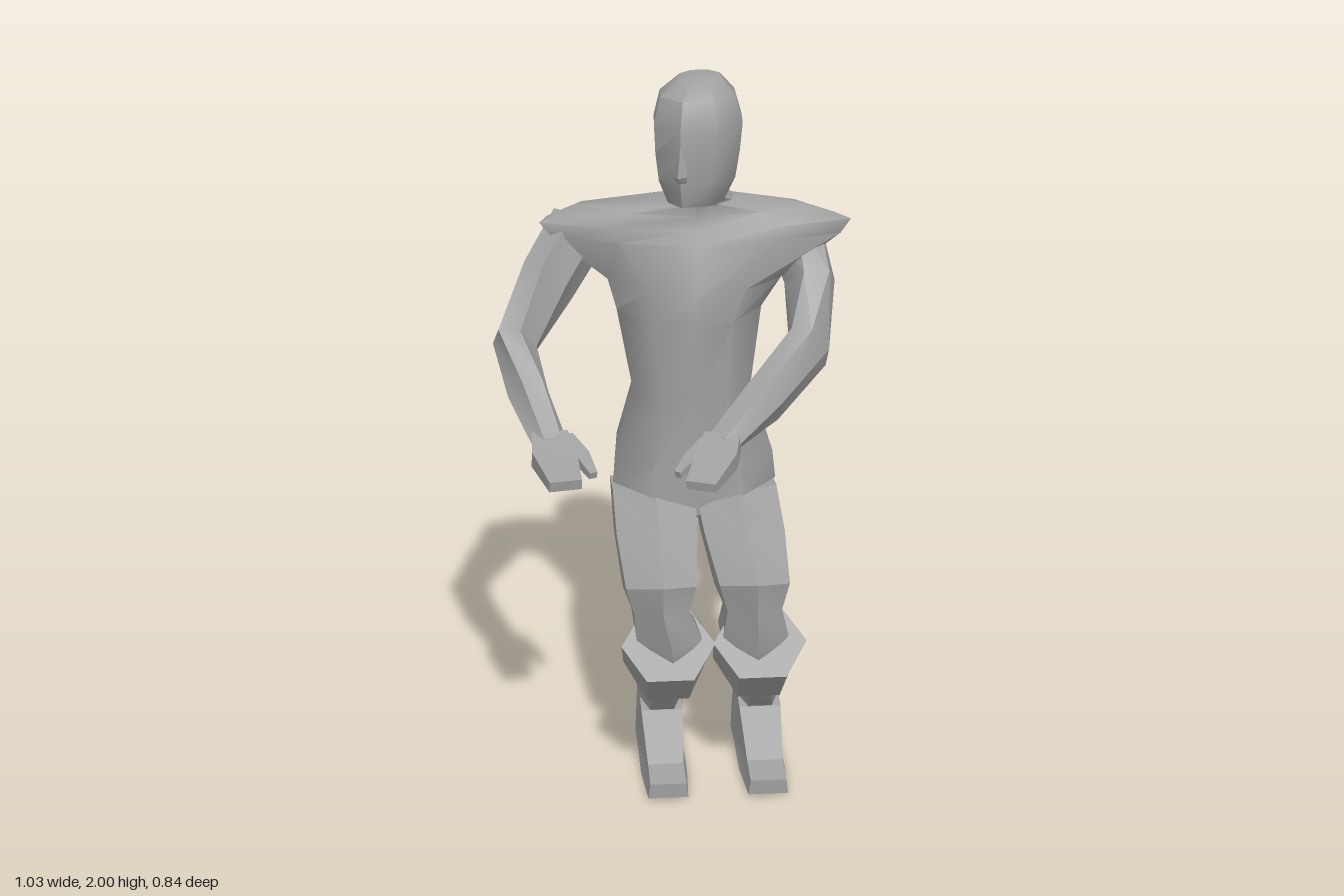
import * as THREE from 'three';
import { toCreasedNormals } from 'three/addons/utils/BufferGeometryUtils.js';

const grey = new THREE.MeshStandardMaterial({ color: 0xa0a0a0 });
grey.name = 'stone grey';

function mesh(name, geometry, parent, crease = 0.75) {
  const m = new THREE.Mesh(toCreasedNormals(geometry, crease), grey);
  m.name = name;
  parent.add(m);
  return m;
}

// Unit polygon scaled to fill -1..1 both ways; phase 0.5 puts a flat side first
function polygon(n, phase = 0) {
  const p = [];
  for (let i = 0; i < n; i++) {
    const a = ((i + phase) / n) * Math.PI * 2;
    p.push([Math.sin(a), Math.cos(a)]);
  }
  const mx = Math.max(...p.map(q => q[0])), my = Math.max(...p.map(q => q[1]));
  return p.map(([x, y]) => [x / mx, y / my]);
}

// Closed skin through rings of equal point count, always facing outwards
function loft(rings) {
  const n = rings[0].length, tris = [];
  const add = (a, b, c) => tris.push([a, b, c]);
  for (let r = 0; r < rings.length - 1; r++) {
    for (let i = 0; i < n; i++) {
      const j = (i + 1) % n, A = rings[r], B = rings[r + 1];
      add(A[i], A[j], B[j]);
      add(A[i], B[j], B[i]);
    }
  }
  const last = rings[rings.length - 1];
  const mid = ring => ring.reduce((s, p) => s.add(p), new THREE.Vector3()).divideScalar(n);
  const c0 = mid(rings[0]), c1 = mid(last);
  for (let i = 0; i < n; i++) {
    const j = (i + 1) % n;
    add(c0, rings[0][j], rings[0][i]);
    add(c1, last[i], last[j]);
  }
  let volume = 0;
  for (const [a, b, c] of tris) volume += a.clone().sub(c0).dot(b.clone().sub(c0).cross(c.clone().sub(c0)));
  const pos = [];
  for (const [a, b, c] of tris) for (const p of volume < 0 ? [a, c, b] : [a, b, c]) pos.push(p.x, p.y, p.z);
  const g = new THREE.BufferGeometry();
  g.setAttribute('position', new THREE.Float32BufferAttribute(pos, 3));
  return g;
}

// Rings given in side profile: [centre x, half width, front y, front z, back y, back z]
function profileLoft(sections, n, phase) {
  return loft(sections.map(([x, hw, fy, fz, by, bz]) => polygon(n, phase).map(([u, v]) =>
    new THREE.Vector3(x + u * hw, (fy + by) / 2 + v * (fy - by) / 2, (fz + bz) / 2 + v * (fz - bz) / 2))));
}

// Rings square to a path: [x, y, z, half width, half height]
function limb(path, n, phase) {
  const pts = path.map(p => new THREE.Vector3(p[0], p[1], p[2]));
  return loft(path.map(([, , , w, h], i) => {
    const t = pts[Math.min(i + 1, pts.length - 1)].clone().sub(pts[Math.max(i - 1, 0)]).normalize();
    const u = new THREE.Vector3(0, 1, 0).cross(t).normalize();
    const v = t.clone().cross(u);
    return polygon(n, phase).map(([a, b]) => pts[i].clone().addScaledVector(u, a * w).addScaledVector(v, b * h));
  }));
}

function buildTorso(parent) {
  // y, right x, left x, z of front ridge, chest, side front, side back, spine,
  // then drop of front ridge, drop of spine, backward turn of the right side
  const rows = [
    [0.73, 0.0, 0.12, -0.09, -0.1, -0.2, -0.36, -0.38, 0.03],
    [0.785, -0.178, 0.304, -0.06, -0.05, -0.18, -0.365, -0.395, 0.065, 0.025],
    [0.87, -0.17, 0.295, -0.05, -0.06, -0.19, -0.36, -0.41],
    [1.08, -0.118, 0.228, -0.05, -0.07, -0.19, -0.3, -0.365],
    [1.31, -0.16, 0.26, -0.035, -0.08, -0.22, -0.33, -0.4],
    [1.4, -0.185, 0.315, -0.04, -0.1, -0.21, -0.355, -0.415, 0, 0, 0.02],
    [1.53, -0.345, 0.485, -0.1, -0.14, -0.205, -0.37, -0.418, 0, 0.03, 0.03],
    [1.57, -0.378, 0.515, -0.12, -0.15, -0.21, -0.36, -0.412, 0, 0.05, 0.03],
    [1.61, -0.27, 0.39, -0.13, -0.16, -0.24, -0.365, -0.39, 0, 0.05, 0.03],
    [1.645, -0.03, 0.155, -0.12, -0.14, -0.19, -0.29, -0.335, 0, 0.01],
  ];
  mesh('torso', loft(rows.map(([y, xr, xl, fc, f, sf, sb, bc, df = 0, db = 0, turn = 0]) => {
    const c = (xr + xl) / 2, h = (xl - xr) / 2;
    return [[c, fc, df], [c + h * 0.55, f, 0], [xl, sf, 0], [xl - h * 0.06, sb, db / 2], [c, bc, db],
      [xr + h * 0.06, sb - turn, db / 2], [xr, sf - turn, 0], [c - h * 0.55, f - turn / 2, 0]]
      .map(([x, z, drop]) => new THREE.Vector3(x, y - drop, z));
  })), parent, 0.8);
}

function buildHead(parent) {
  const head = new THREE.Group();
  head.name = 'head';
  head.position.set(0.07, 0, -0.185);
  head.rotation.y = -0.42;
  parent.add(head);
  // y, half width, front z, back z
  const rows = [
    [1.58, 0.1, 0.03, -0.15], [1.64, 0.09, 0.05, -0.145], [1.655, 0.08, 0.13, -0.142],
    [1.72, 0.112, 0.145, -0.145], [1.8, 0.125, 0.148, -0.148], [1.88, 0.132, 0.145, -0.15],
    [1.955, 0.112, 0.125, -0.12], [2.0, 0.06, 0.05, -0.085],
  ];
  mesh('skull', profileLoft(rows.map(([y, w, f, b]) => [0, w, y, f, y, b]), 8, 0), head, 0.8);
  // Nose: a short wedge widening downwards
  mesh('nose', profileLoft([
    [0, 0.008, 1.83, 0.148, 1.83, 0.12],
    [0, 0.02, 1.75, 0.17, 1.75, 0.12],
    [0, 0.016, 1.73, 0.152, 1.73, 0.12],
  ], 4, 0), head, 0.3);
}

function buildArm(parent, side, arm, hand, thumb) {
  const g = new THREE.Group();
  g.name = side + 'Arm';
  parent.add(g);
  mesh('sleeve', limb(arm, 6, 0.5), g, 0.6);
  mesh('hand', limb(hand, 4, 0.5), g, 0.3);
  mesh('thumb', limb(thumb, 4, 0.5), g, 0.3);
}

function buildLeg(parent, side, s) {
  const g = new THREE.Group();
  g.name = side + 'Leg';
  parent.add(g);
  const hip = 0.061 + s * 0.121, knee = 0.067 + s * 0.133, foot = 0.09 + s * 0.145;
  const kneeLow = 0.083 + s * 0.122;
  mesh('thigh', profileLoft([
    [hip, 0.121, 0.79, -0.06, 0.74, -0.385],
    [(hip + knee) / 2, 0.117, 0.733, 0.11, 0.63, -0.2],
    [knee, 0.1, 0.665, 0.315, 0.525, -0.02],
    [knee, 0.078, 0.575, 0.312, 0.49, 0.02],
    [kneeLow, 0.097, 0.45, 0.308, 0.46, 0.04],
    [kneeLow, 0.09, 0.4, 0.29, 0.42, 0.06],
  ], 6, 0), g, 0.6);
  mesh('shin', profileLoft([
    [kneeLow, 0.085, 0.4, 0.27, 0.46, 0.06],
    [foot - s * 0.01, 0.076, 0.29, 0.215, 0.41, 0.02],
    [foot, 0.069, 0.172, 0.1, 0.205, -0.072],
    [foot, 0.066, 0.1, 0.1, 0.1, -0.076],
  ], 6, 0.5), g, 0.5);
  // Cuff below the knee, square to the shin
  const cuff = 0.083 + s * 0.131;
  mesh('kneeCuff', profileLoft([
    [cuff, 0.134, 0.39, 0.34, 0.53, 0.17],
    [cuff, 0.122, 0.28, 0.24, 0.42, 0.02],
  ], 6, 0.5), g, 0.3);
  // Boot: side outline pushed across, narrowing to the toe and at the top
  const outline = [[-0.075, 0.2], [0.1, 0.17], [0.24, 0.068], [0.335, 0.055], [0.335, 0.01],
    [0.17, 0], [0.06, 0.01], [-0.08, 0.01]].map(p => new THREE.Vector2(p[0], p[1]));
  const boot = new THREE.ExtrudeGeometry(new THREE.Shape(outline), { depth: 0.136, bevelEnabled: false });
  boot.translate(0, 0, -0.068).rotateY(-Math.PI / 2);
  const p = boot.attributes.position;
  for (let i = 0; i < p.count; i++) {
    const toe = p.getZ(i) > 0.2 ? 0.85 : 1;
    p.setX(i, p.getX(i) * toe * (p.getY(i) > 0.05 ? 0.9 : 1) + foot);
  }
  mesh('boot', boot, g, 0.3);
}

export function createModel() {
  const model = new THREE.Group();
  model.name = 'crouchingFigure';
  buildTorso(model);
  buildHead(model);
  buildArm(model, 'left',
    [[0.36, 1.52, -0.3, 0.075, 0.09], [0.4, 1.38, -0.22, 0.075, 0.095], [0.385, 1.225, -0.095, 0.062, 0.09],
      [0.24, 1.125, 0.06, 0.06, 0.065], [0.1, 1.05, 0.2, 0.055, 0.03]],
    [[0.11, 1.055, 0.19, 0.05, 0.03], [0.085, 1.035, 0.27, 0.058, 0.024], [0.03, 1.01, 0.4, 0.042, 0.013]],
    [[0.07, 1.045, 0.19, 0.025, 0.02], [0.015, 1.025, 0.25, 0.02, 0.015], [-0.025, 1.005, 0.3, 0.01, 0.01]]);
  buildArm(model, 'right',
    [[-0.26, 1.53, -0.32, 0.075, 0.09], [-0.355, 1.4, -0.235, 0.07, 0.09], [-0.458, 1.25, -0.11, 0.064, 0.085],
      [-0.425, 1.15, 0.03, 0.06, 0.065], [-0.37, 1.05, 0.155, 0.052, 0.03]],
    [[-0.37, 1.055, 0.14, 0.05, 0.03], [-0.362, 1.035, 0.22, 0.062, 0.024], [-0.335, 1.01, 0.365, 0.045, 0.015]],
    [[-0.325, 1.045, 0.12, 0.02, 0.02], [-0.285, 1.025, 0.2, 0.022, 0.015], [-0.256, 1.0, 0.275, 0.011, 0.01]]);
  buildLeg(model, 'left', 1);
  buildLeg(model, 'right', -1);
  return model;
}
